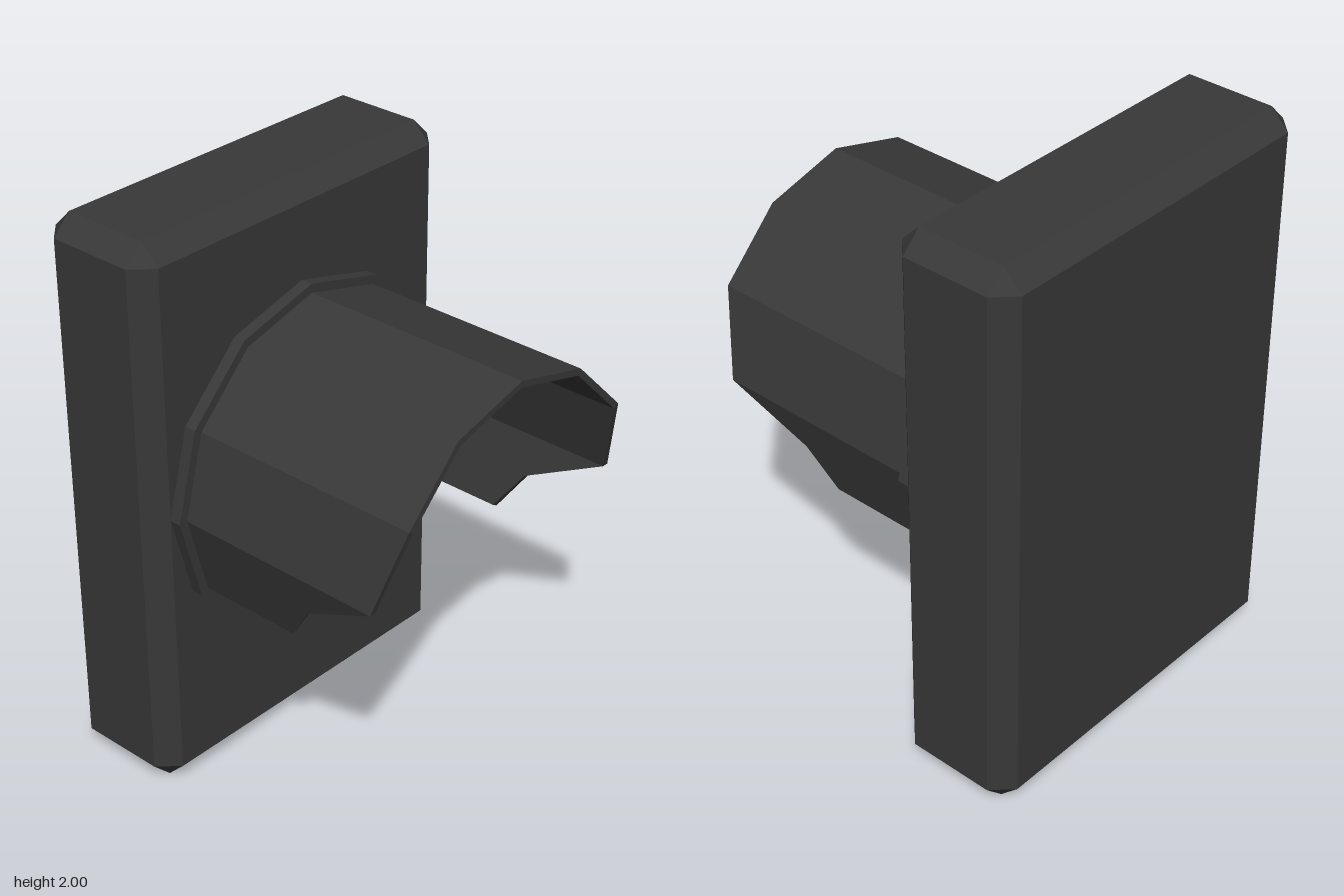
import * as THREE from 'three';
import { ConvexGeometry } from 'three/addons/geometries/ConvexGeometry.js';

const CENTRE_Y = 1.052;
const SIDES = 12;

const dark = new THREE.MeshStandardMaterial({ color: 0x383838, flatShading: true });
const lensGrey = new THREE.MeshStandardMaterial({ color: 0xadadad, flatShading: true });

function add(group, name, geometry, material) {
  const mesh = new THREE.Mesh(geometry, material);
  mesh.name = name;
  group.add(mesh);
  return mesh;
}

// Box with flat chamfers on every edge and triangular corners
function chamferedBox(w, h, d, c) {
  const points = [];
  for (const x of [-w / 2, w / 2])
    for (const y of [-h / 2, h / 2])
      for (const z of [-d / 2, d / 2]) {
        const [ix, iy, iz] = [x, y, z].map((v) => v - Math.sign(v) * c);
        points.push(
          new THREE.Vector3(x, iy, iz),
          new THREE.Vector3(ix, y, iz),
          new THREE.Vector3(ix, iy, z)
        );
      }
  return new ConvexGeometry(points);
}

// Twelve-sided disc lying along z, from back to front
function disc(frontRadius, backRadius, zBack, zFront) {
  const g = new THREE.CylinderGeometry(frontRadius, backRadius, zFront - zBack, SIDES);
  return g.rotateX(Math.PI / 2).translate(0, CENTRE_Y, (zBack + zFront) / 2);
}

// Open-bottomed hood: a four-point wall section swept over the lens
function visorGeometry(outer, inner, zBack) {
  const rim = (deg, r) => {
    const a = THREE.MathUtils.degToRad(deg);
    return [Math.cos(a) * r, CENTRE_Y + Math.sin(a) * r];
  };
  const mid = (a, b) => [(a[0] + b[0]) / 2, (a[1] + b[1]) / 2];
  const section = (xy, z) => [
    [...xy(outer), zBack], [...xy(outer), z], [...xy(inner), z], [...xy(inner), zBack],
  ];

  // Front edge depth steps back toward the lower ends
  const half = [
    section((r) => rim(-30, r), 0.2),
    section((r) => mid(rim(-30, r), rim(0, r)), 0.3),
    section((r) => rim(0, r), 0.59),
    section((r) => rim(30, r), 0.67),
    section((r) => rim(60, r), 0.67),
  ];
  const top = section((r) => rim(90, r), 0.67);
  const mirrored = half.map((s) => s.map(([x, y, z]) => [-x, y, z])).reverse();
  const sections = [...half, top, ...mirrored];

  const index = [];
  const quad = (a, b, c, d) => index.push(a, b, c, a, c, d);
  for (let i = 0; i < sections.length - 1; i++)
    for (let j = 0; j < 4; j++) {
      const k = (j + 1) % 4;
      quad(i * 4 + j, i * 4 + 4 + j, i * 4 + 4 + k, i * 4 + k);
    }
  // Close the two lower ends
  quad(0, 1, 2, 3);
  const e = (sections.length - 1) * 4;
  quad(e + 3, e + 2, e + 1, e);

  const g = new THREE.BufferGeometry();
  g.setAttribute('position', new THREE.Float32BufferAttribute(sections.flat(2), 3));
  g.setIndex(index);
  const flat = g.toNonIndexed();
  flat.computeVertexNormals();
  return flat;
}

export function createModel() {
  const model = new THREE.Group();
  model.name = 'signalLight';

  // Housing
  add(model, 'housing', chamferedBox(1.364, 2, 0.45, 0.068), dark).position.set(0, 1, -0.447);

  // Mounting ring around the lens
  add(model, 'lensRing', disc(0.615, 0.615, -0.222, -0.18), dark);

  // Bevelled lens
  add(model, 'lens', disc(0.5, 0.56, -0.18, -0.115), lensGrey);

  // Visor
  add(model, 'visor', visorGeometry(0.583, 0.56, -0.2), dark);

  return model;
}
